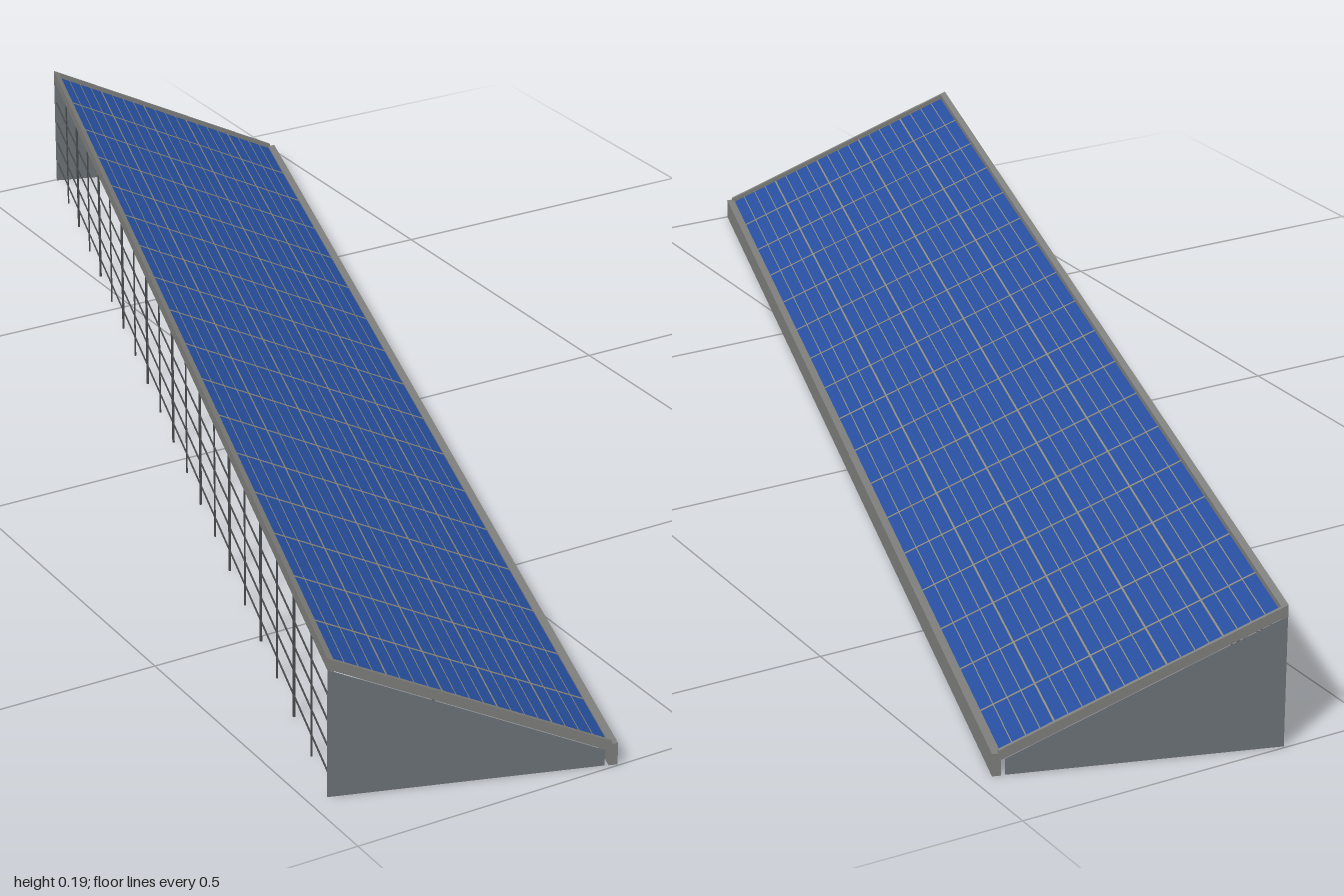
import * as THREE from 'three';

const L = 1.98;            // length along local z
const U = 0.181;           // half width along local x (high edge at -U, low edge at +U)
const SLOPE = -0.16 / (2 * U);
const topY = (u) => 0.11 + SLOPE * u;   // height of the rim's top edge

const mat = (name, color, side = THREE.FrontSide) => {
  const m = new THREE.MeshStandardMaterial({ color, side });
  m.name = name;
  return m;
};

export function createModel() {
  const root = new THREE.Group();
  root.name = 'solarArray';
  const body = new THREE.Group();
  body.name = 'array';
  body.rotation.y = -0.311;
  root.add(body);

  const frameGrey = mat('frameGrey', 0x80807e);
  const wallGrey = mat('wallGrey', 0x6e757a, THREE.DoubleSide);
  const cellBlue = mat('cellBlue', 0x2850a0);
  const lineTan = mat('lineTan', 0x8f8c80);
  const wireDark = mat('wireDark', 0x4a4c4e);

  const add = (name, geo, m, parent = body) => {
    const mesh = new THREE.Mesh(geo, m);
    mesh.name = name;
    parent.add(mesh);
    return mesh;
  };
  const box = (name, w, h, d, x, y, z, m, parent) =>
    add(name, new THREE.BoxGeometry(w, h, d), m, parent).position.set(x, y, z);

  // Sloped slab between two depths under the rim's top line, extruded along z
  const slab = (name, u0, u1, d0, d1, z0, z1, m, parent) => {
    const s = new THREE.Shape([
      new THREE.Vector2(u0, topY(u0) - d1), new THREE.Vector2(u1, topY(u1) - d1),
      new THREE.Vector2(u1, topY(u1) - d0), new THREE.Vector2(u0, topY(u0) - d0),
    ]);
    const g = new THREE.ExtrudeGeometry(s, { depth: z1 - z0, bevelEnabled: false });
    g.translate(0, 0, z0);
    return add(name, g, m, parent);
  };

  // Backing and recessed blue surface
  slab('backing', -U + 0.004, U - 0.006, 0.010, 0.014, -L / 2, L / 2, frameGrey);
  slab('cells', -U + 0.007, U - 0.010, 0.007, 0.010, -L / 2 + 0.004, L / 2 - 0.004, cellBlue);

  // Seams between the modules and the fine rows of cells
  const lines = new THREE.Group();
  lines.name = 'cellLines';
  body.add(lines);
  const modules = 17;
  for (let i = 1; i < modules; i++) {
    const z = -L / 2 + (L * i) / modules;
    slab('seam', -U + 0.007, U - 0.010, 0.0062, 0.007, z - 0.0013, z + 0.0013, lineTan, lines);
  }
  const rows = 20;
  for (let i = 1; i < rows; i++) {
    const u = -U + 0.007 + ((2 * U - 0.017) * i) / rows;
    const w = i % 4 === 0 ? 0.001 : 0.0005;
    slab('rowLine', u - w, u + w, 0.0063, 0.007, -L / 2 + 0.004, L / 2 - 0.004, lineTan, lines);
  }

  // Raised rim: high rail, low board and both sloped ends
  slab('highRail', -U, -U + 0.008, 0, 0.016, -L / 2, L / 2, frameGrey);
  box('lowBoard', 0.011, 0.030, L, U - 0.0055, 0.015, 0, frameGrey);
  for (const s of [-1, 1]) {
    const z = s * (L / 2 - 0.0025);
    slab('endRail', -U, U - 0.008, 0, 0.014, z - 0.0025, z + 0.0025, frameGrey);

    // Triangular end wall
    const wall = new THREE.Shape([
      new THREE.Vector2(-U, 0), new THREE.Vector2(U - 0.016, 0),
      new THREE.Vector2(U - 0.016, topY(U - 0.016) - 0.0155),
      new THREE.Vector2(-U, topY(-U) - 0.0155),
    ]);
    add('endWall', new THREE.ShapeGeometry(wall), wallGrey).position.z = s * (L / 2 - 0.001);
  }

  // Wire fence along the open high side
  const fence = new THREE.Group();
  fence.name = 'wireFence';
  body.add(fence);
  const bays = 20, fenceTop = topY(-U) - 0.015;
  for (let i = 1; i < bays; i++) {
    const w = i % 2 ? 0.002 : 0.003;
    box('fenceUpright', w, fenceTop, w, -U + 0.003, fenceTop / 2, -L / 2 + (L * i) / bays, wireDark, fence);
  }
  for (const y of [0.03, 0.065, 0.1, 0.135]) {
    box('fenceWire', 0.0018, 0.0018, L - 0.004, -U + 0.003, y, 0, wireDark, fence);
  }

  // Row of slim posts under the middle
  for (let i = 1; i < 10; i++) {
    const h = topY(0) - 0.013;
    const post = add('supportPost', new THREE.CylinderGeometry(0.002, 0.002, h, 6), wireDark);
    post.position.set(0, h / 2, -L / 2 + (L * i) / 10);
  }
  return root;
}
